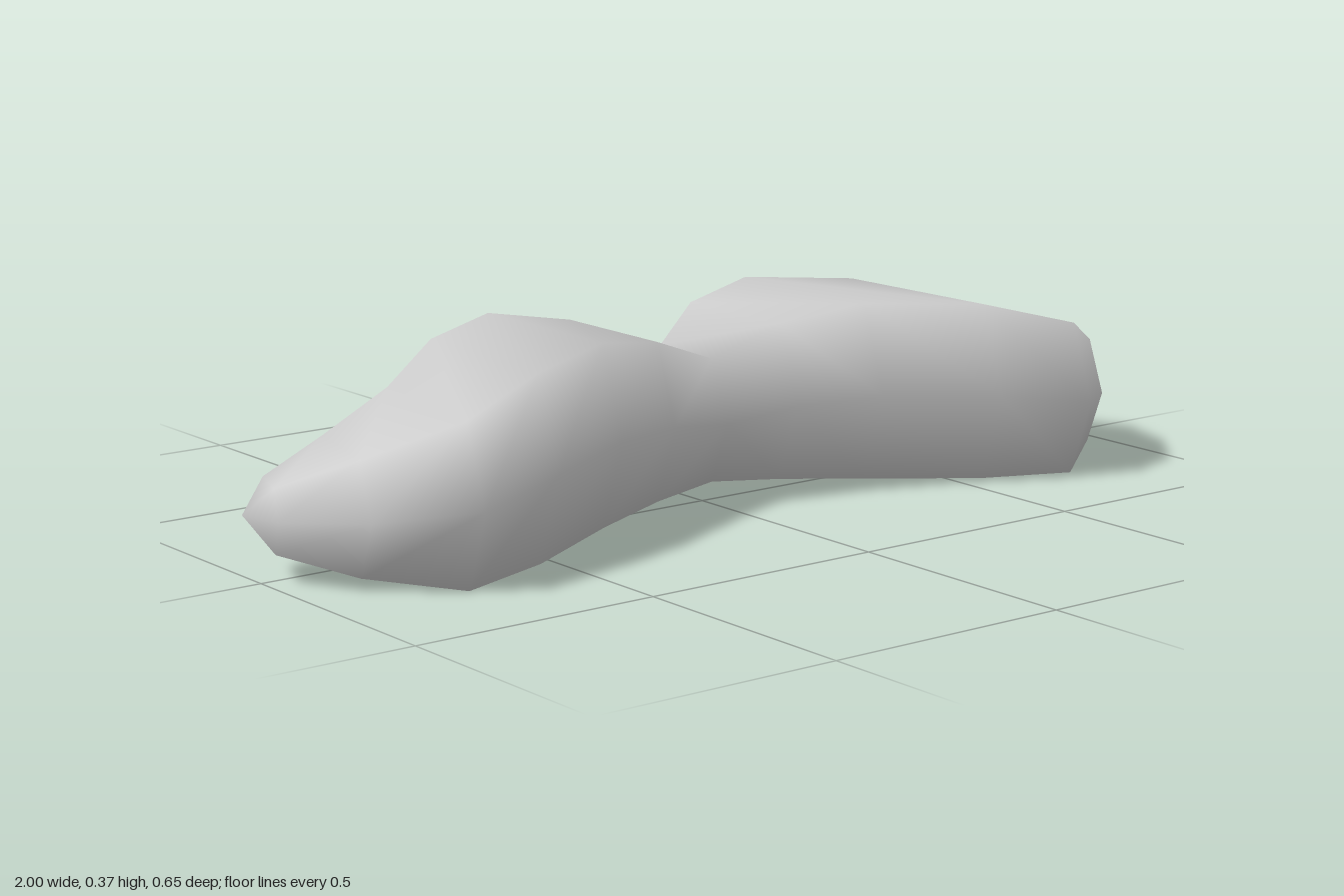
import * as THREE from 'three';

// Stations from the middle outwards, each a six-sided section:
// front x, front z, back x, back z, top y, bottom y, front inset, back inset
const STATIONS = [
  [0.00, 0.08, 0.00, -0.18, 0.29, 0.045, 0.05, 0.045],
  [0.15, 0.11, 0.15, -0.285, 0.345, 0.033, 0.055, 0.055],
  [0.32, 0.17, 0.32, -0.326, 0.373, 0.019, 0.06, 0.06],
  [0.54, 0.275, 0.52, -0.225, 0.362, 0.007, 0.06, 0.06],
  [0.735, 0.326, 0.69, -0.115, 0.31, 0.001, 0.055, 0.06],
  [0.89, 0.20, 0.83, -0.095, 0.24, 0.026, 0.04, 0.04],
  [0.983, 0.035, 0.95, -0.098, 0.178, 0.056, 0.01, 0.03],
];

// Corners of one section: front, top front, top back, back, bottom back, bottom front
function section([fx, fz, bx, bz, top, bottom, fi, bi], side) {
  const mid = (top + bottom) / 2;
  return [
    [fx, mid, fz], [fx, top, fz - fi], [bx, top, bz + bi],
    [bx, mid, bz], [bx, bottom, bz + bi], [fx, bottom, fz - fi],
  ].map(([x, y, z]) => [x * side, y, z]);
}

function moustacheGeometry() {
  const rings = [
    ...STATIONS.slice(1).reverse().map((s) => section(s, -1)),
    ...STATIONS.map((s) => section(s, 1)),
  ];
  const points = rings.flat();
  const leftTip = points.push([1, 0.115, -0.06]) - 1;
  const rightTip = points.push([-1, 0.115, -0.06]) - 1;
  const last = (rings.length - 1) * 6;
  const index = [];

  for (let j = 0; j < 6; j++) {
    const k = (j + 1) % 6;
    // skin between neighbouring sections, with mirrored diagonals
    for (let i = 0; i < rings.length - 1; i++) {
      const a = i * 6 + j, b = i * 6 + k, c = a + 6, d = b + 6;
      if (i < STATIONS.length - 1) index.push(a, c, d, a, d, b);
      else index.push(a, c, b, b, c, d);
    }
    // pointed ends
    index.push(leftTip, last + k, last + j);
    index.push(rightTip, j, k);
  }

  const geometry = new THREE.BufferGeometry();
  geometry.setAttribute('position', new THREE.Float32BufferAttribute(points.flat(), 3));
  geometry.setIndex(index);
  geometry.computeVertexNormals();
  return geometry;
}

export function createModel() {
  const group = new THREE.Group();
  group.name = 'moustacheModel';
  const lightGrey = new THREE.MeshStandardMaterial({ color: 0xcccccc });
  lightGrey.name = 'lightGrey';
  const moustache = new THREE.Mesh(moustacheGeometry(), lightGrey);
  moustache.name = 'moustache';
  group.add(moustache);
  return group;
}
